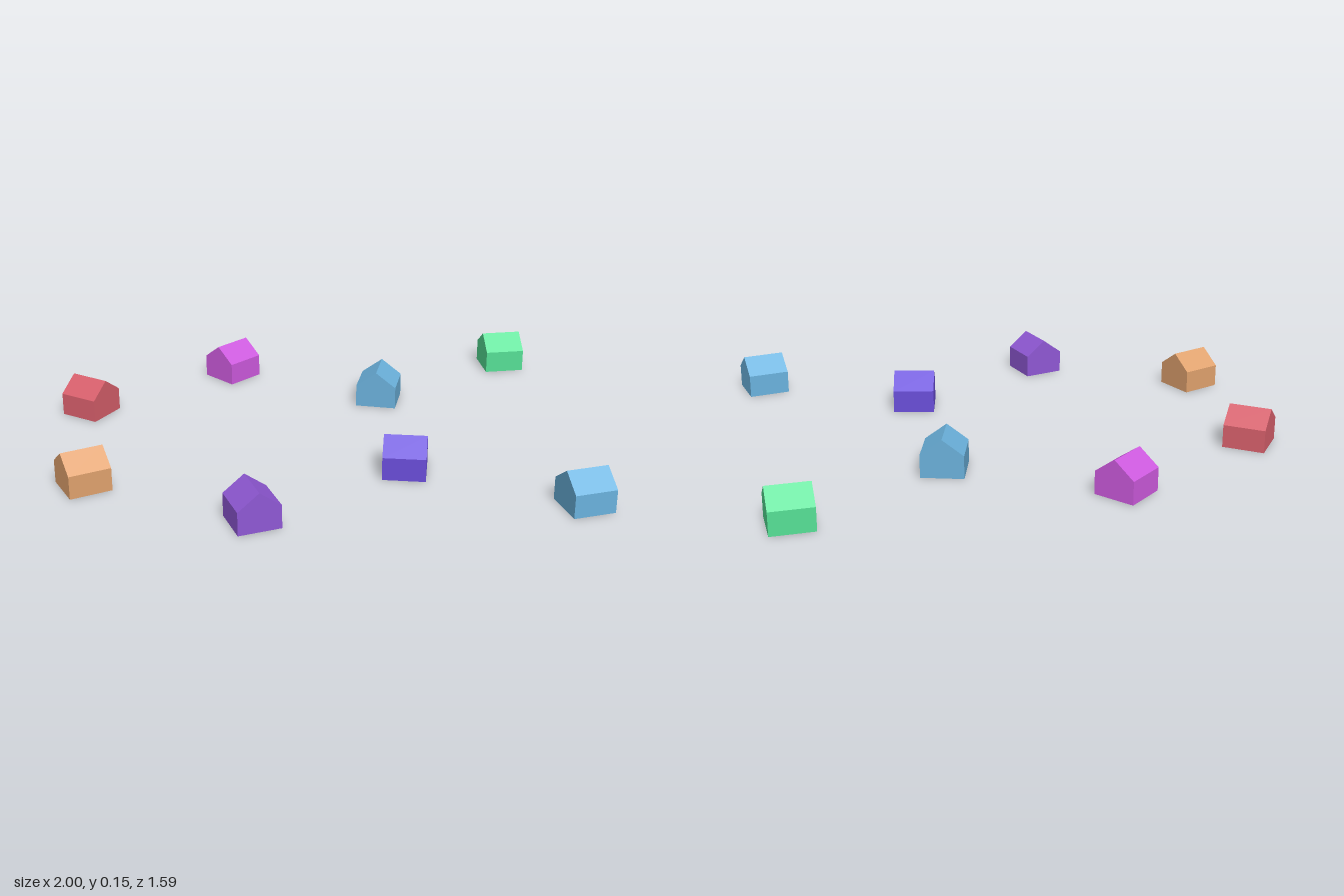
import * as THREE from 'three';

const SIZE = 0.163, WALL = 0.09, RIDGE = 0.151;

// Gabled block: pentagon cross-section extruded along the ridge (local x)
function houseGeometry() {
  const h = SIZE / 2;
  const gable = new THREE.Shape([
    new THREE.Vector2(-h, 0),
    new THREE.Vector2(h, 0),
    new THREE.Vector2(h, WALL),
    new THREE.Vector2(0, RIDGE),
    new THREE.Vector2(-h, WALL),
  ]);
  return new THREE.ExtrudeGeometry(gable, { depth: SIZE, bevelEnabled: false })
    .translate(0, 0, -h)
    .rotateY(Math.PI / 2);
}

// Position, ridge direction in degrees, and colour of each house
const HOUSES = [
  { name: 'greenHouse', x: 0.9, z: -0.68, turn: 2.5, color: 0x55df95 },
  { name: 'pinkHouse', x: -0.29, z: -0.68, turn: 40, color: 0xcd5ade },
  { name: 'redHouse', x: -0.89, z: -0.34, turn: -36, color: 0xd65f6b },
  { name: 'innerBlueHouse', x: 0.305, z: -0.34, turn: 73, color: 0x6ab0da },
  { name: 'orangeHouse', x: -0.89, z: 0.35, turn: 22, color: 0xdfa16d },
  { name: 'indigoHouse', x: 0.305, z: 0.35, turn: -12, color: 0x694dd8 },
  { name: 'purpleHouse', x: -0.29, z: 0.69, turn: -74.5, color: 0x8f58d4 },
  { name: 'outerBlueHouse', x: 0.9, z: 0.69, turn: 11, color: 0x6ab2dd },
];

export function createModel() {
  const village = new THREE.Group();
  village.name = 'village';
  const geometry = houseGeometry();
  for (const { name, x, z, turn, color } of HOUSES) {
    const house = new THREE.Mesh(geometry, new THREE.MeshStandardMaterial({ color, flatShading: true }));
    house.name = name;
    house.position.set(x, 0, z);
    house.rotation.y = THREE.MathUtils.degToRad(turn);
    village.add(house);
  }
  return village;
}
